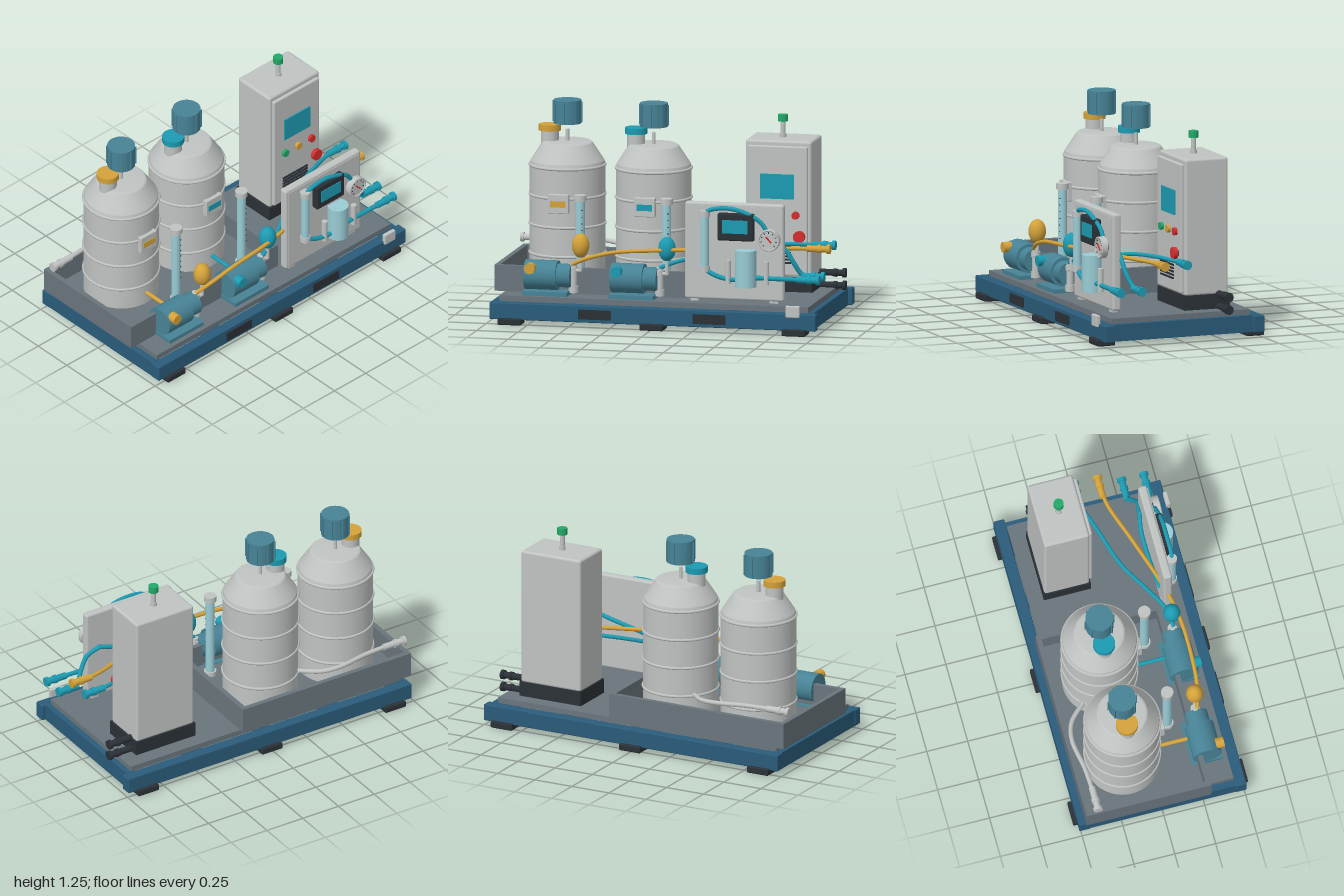
import * as THREE from 'three';
import { RoundedBoxGeometry } from 'three/addons/geometries/RoundedBoxGeometry.js';

const paint = (name, color) => {
  const m = new THREE.MeshStandardMaterial({ color });
  m.name = name;
  return m;
};

export function createModel() {
  const model = new THREE.Group();
  model.name = 'dosingSkid';
  const blue = paint('frameBlue', 0x2a5c7a), grey = paint('deckGrey', 0x69757c);
  const light = paint('lightGrey', 0xbfc3c1), dark = paint('darkGrey', 0x2b3137);
  const steel = paint('motorBlue', 0x478396), teal = paint('teal', 0x1c9bb2);
  const yellow = paint('yellow', 0xd3a23a), green = paint('green', 0x22a968);
  const red = paint('red', 0xd4302e), glass = paint('paleGlass', 0x9accd5);

  const add = (name, geo, mat, parent = model) => {
    const mesh = new THREE.Mesh(geo, mat);
    mesh.name = name;
    parent.add(mesh);
    return mesh;
  };
  // Box from its limits on each axis, optionally with rounded edges
  const box = (name, mat, [x0, x1], [y0, y1], [z0, z1], round = 0, parent = model) => {
    const s = [x1 - x0, y1 - y0, z1 - z0];
    const geo = round ? new RoundedBoxGeometry(...s, 2, round) : new THREE.BoxGeometry(...s);
    const mesh = add(name, geo, mat, parent);
    mesh.position.set((x0 + x1) / 2, (y0 + y1) / 2, (z0 + z1) / 2);
    return mesh;
  };
  // Cylinder between two limits along an axis; c holds the other two coordinates in x, y, z order
  const cyl = (name, mat, axis, r, [a, b], c, parent = model, sides = 28) => {
    const geo = new THREE.CylinderGeometry(r, r, b - a, sides);
    if (axis === 'x') geo.rotateZ(-Math.PI / 2);
    if (axis === 'z') geo.rotateX(Math.PI / 2);
    const m = (a + b) / 2;
    const mesh = add(name, geo, mat, parent);
    mesh.position.set(...(axis === 'x' ? [m, c[0], c[1]] : axis === 'y' ? [c[0], m, c[1]] : [c[0], c[1], m]));
    return mesh;
  };
  const hose = (name, mat, r, points, parent = model) => {
    const curve = new THREE.CatmullRomCurve3(points.map(p => new THREE.Vector3(...p)));
    return add(name, new THREE.TubeGeometry(curve, 48, r, 10), mat, parent);
  };
  // Hose coupling that ends at the right or left edge
  const coupling = (name, mat, y, z, x0 = 0.86, s = 1) => {
    const span = (a, b) => (s > 0 ? [a, b] : [-b, -a]);
    cyl(name, mat, 'x', 0.02, span(x0, 0.985), [y, z]);
    cyl(name + 'Collar', mat, 'x', 0.025, span(0.925, 0.945), [y, z]);
    cyl(name + 'Flange', mat, 'x', 0.028, span(0.98, 1), [y, z]);
  };

  // Base frame, deck and feet
  for (const s of [-1, 1]) {
    box('sideRail', blue, [-0.98, 1], [0.03, 0.13], [s * 0.478 - 0.033, s * 0.478 + 0.033], 0.006);
    for (const x of [-0.855, 0.007, 0.87])
      box('foot', dark, [x - 0.072, x + 0.072], [0, 0.04], [s * 0.478 - 0.056, s * 0.478 + 0.056], 0.008);
  }
  for (const x of [-0.945, -0.47, 0.005, 0.48, 0.945])
    box('crossBeam', blue, [x - 0.03, x + 0.03], [0.03, 0.13], [-0.447, 0.447]);
  box('deck', grey, [-0.935, 0.94], [0.128, 0.162], [-0.443, 0.443]);
  for (const x of [-0.34, 0.355]) box('forkPocket', dark, [x - 0.1, x + 0.1], [0.05, 0.108], [0.51, 0.518]);
  box('junctionBox', light, [0.82, 0.905], [0.11, 0.18], [0.5, 0.526], 0.006);
  box('drain', light, [0.075, 0.145], [0.004, 0.13], [-0.415, -0.385]);

  // Containment tray with an open top
  box('trayFloor', grey, [-1, 0.175], [0.162, 0.182], [-0.472, 0.29]);
  for (const x of [-0.985, 0.16]) box('trayEnd', grey, [x - 0.015, x + 0.015], [0.162, 0.317], [-0.472, 0.29]);
  for (const z of [-0.457, 0.275]) box('traySide', grey, [-0.98, 0.155], [0.162, 0.317], [z - 0.015, z + 0.015]);

  // Two dosing lines, each with tank, agitator, sight tube and pump
  const shell = [[0, 0.18], [0.21, 0.18], [0.224, 0.195], [0.224, 0.86], [0.218, 0.885], [0.15, 0.99], [0.135, 1], [0, 1]];
  const makeLine = (offset, accent) => {
    const g = new THREE.Group();
    g.name = 'dosingLine';
    g.position.x = offset;
    model.add(g);
    const tz = -0.165;
    // Flat segments of the profile get separate lathes so their edges stay sharp
    for (const [i, j] of [[0, 1], [1, 2], [2, 3], [3, 4], [4, 5], [5, 7]]) {
      const pts = shell.slice(i, j + 1).map(p => new THREE.Vector2(...p));
      add('tankShell', new THREE.LatheGeometry(pts, 48), light, g).position.z = tz;
    }
    for (const y of [0.86, 0.685, 0.51, 0.335]) {
      const hoop = add('tankHoop', new THREE.TorusGeometry(0.223, 0.009, 8, 48), light, g);
      hoop.rotation.x = Math.PI / 2;
      hoop.position.set(0, y, tz);
    }
    box('labelPlate', light, [-0.063, 0.063], [0.6, 0.715], [0.045, 0.08], 0.005, g);
    box('labelBand', accent, [-0.047, 0.047], [0.638, 0.675], [0.079, 0.084], 0, g);
    cyl('fillerNeck', light, 'y', 0.053, [0.96, 1.06], [-0.107, tz], g);
    cyl('fillerCap', accent, 'y', 0.066, [1.058, 1.095], [-0.107, tz], g);
    cyl('agitatorShaft', light, 'y', 0.011, [0.99, 1.07], [0, tz], g);
    cyl('agitatorMotor', steel, 'y', 0.083, [1.105, 1.245], [0, tz], g, 36);
    for (let i = 0; i < 8; i++) {
      const a = (i * Math.PI) / 4;
      const fin = box('motorFin', steel, [-0.004, 0.004], [1.112, 1.236], [-0.006, 0.006], 0, g);
      fin.position.set(Math.sin(a) * 0.084, fin.position.y, tz + Math.cos(a) * 0.084);
      fin.rotation.y = a;
    }

    // Sight tube with graduation marks
    cyl('sightTube', glass, 'y', 0.027, [0.2, 0.7], [0.151, 0.15], g);
    for (const [a, b] of [[0.182, 0.21], [0.695, 0.73]]) cyl('sightTubeCap', light, 'y', 0.037, [a, b], [0.151, 0.15], g);
    for (let i = 0; i < 8; i++) box('tick', dark, [0.156, 0.17], [0.36 + i * 0.04, 0.364 + i * 0.04], [0.168, 0.175], 0, g);

    // Metering pump
    box('pumpBase', steel, [-0.14, 0.13], [0.162, 0.187], [0.225, 0.415], 0, g);
    cyl('pumpMotor', steel, 'x', 0.088, [-0.137, 0.058], [0.275, 0.32], g);
    cyl('pumpHead', steel, 'x', 0.07, [0.058, 0.14], [0.275, 0.32], g);
    cyl('strokeKnob', accent, 'z', 0.032, [0.38, 0.43], [-0.093, 0.325], g);
    cyl('pumpValve', light, 'y', 0.021, [0.185, 0.345], [0.15, 0.32], g);
    cyl('valveFoot', light, 'y', 0.029, [0.175, 0.215], [0.15, 0.32], g);
    cyl('valveTop', light, 'y', 0.028, [0.3, 0.33], [0.15, 0.32], g);
    cyl('dischargePort', light, 'x', 0.012, [0.14, 0.195], [0.31, 0.33], g);
    cyl('damperStem', light, 'y', 0.012, [0.305, 0.41], [0.195, 0.33], g);
    const bulb = add('pulsationDamper', new THREE.SphereGeometry(0.052, 28, 20), accent, g);
    bulb.scale.y = 1.4;
    bulb.position.set(0.196, 0.46, 0.33);
    cyl('suctionPipe', accent, 'z', 0.012, [0.04, 0.3], [0, 0.27], g);
  };
  makeLine(-0.663, yellow);
  makeLine(-0.139, teal);

  // Delivery hoses from the pumps to the right edge
  hose('yellowHose', yellow, 0.012, [[-0.52, 0.345, 0.33], [-0.42, 0.39, 0.36], [-0.25, 0.435, 0.375], [0, 0.455, 0.37],
    [0.2, 0.46, 0.335], [0.55, 0.46, 0.225], [0.8, 0.46, 0.14], [0.9, 0.46, 0.124]]);
  coupling('yellowCoupling', yellow, 0.46, 0.124);
  hose('tealHose', teal, 0.012, [[0.01, 0.345, 0.33], [0.12, 0.385, 0.31], [0.25, 0.41, 0.235], [0.43, 0.45, 0.12],
    [0.67, 0.465, 0.04], [0.83, 0.46, -0.01], [0.9, 0.46, -0.018]]);
  coupling('tealCoupling', teal, 0.46, -0.018);

  // Overflow hose behind the tanks
  hose('overflowHose', light, 0.014, [[-0.88, 0.37, -0.4], [-0.72, 0.37, -0.41], [-0.53, 0.365, -0.437], [-0.42, 0.355, -0.41], [-0.3, 0.34, -0.3]]);
  coupling('overflowCoupling', light, 0.37, -0.4, 0.85, -1);

  // Instrument panel
  box('panel', light, [0.172, 0.773], [0.175, 0.755], [0.312, 0.364], 0.014);
  box('panelFace', light, [0.19, 0.755], [0.193, 0.737], [0.36, 0.368]);
  for (const x of [0.23, 0.71]) box('panelFoot', light, [x - 0.025, x + 0.025], [0.16, 0.18], [0.32, 0.355]);
  box('displayHousing', dark, [0.38, 0.6], [0.537, 0.7], [0.366, 0.412], 0.01);
  box('displayScreen', teal, [0.41, 0.565], [0.582, 0.662], [0.41, 0.416]);
  cyl('gaugeStem', dark, 'z', 0.025, [0.366, 0.395], [0.695, 0.55]);
  cyl('gaugeBody', light, 'z', 0.065, [0.388, 0.42], [0.695, 0.55], model, 36);
  add('gaugeRim', new THREE.TorusGeometry(0.06, 0.006, 8, 36), light).position.set(0.695, 0.55, 0.421);
  for (let i = 0; i < 9; i++) {
    const a = (-0.75 + i * 0.1875) * Math.PI;
    const mark = box('gaugeMark', dark, [-0.002, 0.002], [-0.005, 0.005], [0.419, 0.423]);
    mark.position.set(0.695 + Math.sin(a) * 0.046, 0.55 + Math.cos(a) * 0.046, 0.421);
    mark.rotation.z = -a;
  }
  box('gaugeNeedle', red, [0.691, 0.699], [0.53, 0.578], [0.421, 0.428]).rotation.z = 0.75;
  cyl('flowMeter', glass, 'y', 0.025, [0.37, 0.69], [0.3, 0.395]);
  for (const [a, b] of [[0.345, 0.38], [0.675, 0.71]]) cyl('flowMeterCap', light, 'y', 0.031, [a, b], [0.3, 0.395]);
  hose('upperSampleTube', teal, 0.013, [[0.3, 0.69, 0.395], [0.33, 0.715, 0.4], [0.44, 0.73, 0.4], [0.55, 0.705, 0.4], [0.64, 0.65, 0.39], [0.69, 0.57, 0.385]]);
  cyl('filterBowl', glass, 'y', 0.063, [0.265, 0.485], [0.552, 0.405]);
  for (const x of [0.445, 0.677]) cyl('sampleProbe', light, 'y', 0.017, [0.28, 0.42], [x, 0.405]);
  hose('lowerSampleTube', teal, 0.014, [[0.3, 0.36, 0.395], [0.37, 0.325, 0.4], [0.47, 0.305, 0.405], [0.6, 0.32, 0.405], [0.75, 0.32, 0.405], [0.9, 0.32, 0.407]]);
  coupling('sampleCoupling', teal, 0.32, 0.407);
  hose('returnHose', teal, 0.014, [[0.69, 0.52, 0.3], [0.77, 0.48, 0.31], [0.82, 0.4, 0.3], [0.86, 0.335, 0.277], [0.9, 0.32, 0.272]]);
  hose('rearSampleTube', teal, 0.013, [[0.25, 0.4, 0.31], [0.4, 0.45, 0.29], [0.6, 0.5, 0.285], [0.7, 0.52, 0.305]]);
  coupling('returnCoupling', teal, 0.32, 0.272);

  // Control cabinet
  box('cabinetPlinth', dark, [0.432, 0.846], [0.16, 0.25], [-0.352, -0.064]);
  box('cabinetBody', light, [0.438, 0.84], [0.245, 1.065], [-0.347, -0.07], 0.016);
  box('cabinetDoor', light, [0.458, 0.82], [0.262, 1.035], [-0.075, -0.049], 0.008);
  box('touchScreen', teal, [0.535, 0.74], [0.72, 0.868], [-0.05, -0.041]);
  [green, yellow, red].forEach((mat, i) => cyl('pushButton', mat, 'z', 0.023, [-0.05, -0.03], [0.54 + i * 0.105, 0.625]));
  cyl('stopButtonStem', dark, 'z', 0.02, [-0.05, -0.035], [0.775, 0.5]);
  cyl('stopButton', red, 'z', 0.035, [-0.038, -0.013], [0.775, 0.5]);
  for (let i = 0; i < 6; i++) box('ventSlot', dark, [0.525, 0.72], [0.333 + i * 0.02, 0.343 + i * 0.02], [-0.05, -0.041]);
  cyl('beaconBase', light, 'y', 0.02, [1.06, 1.085], [0.635, -0.208]);
  cyl('beaconPole', light, 'y', 0.015, [1.06, 1.165], [0.635, -0.208]);
  cyl('beaconLamp', green, 'y', 0.03, [1.16, 1.2], [0.635, -0.208]);
  coupling('powerCoupling', dark, 0.25, -0.285, 0.83);
  coupling('signalCoupling', dark, 0.175, -0.285, 0.83);
  return model;
}
